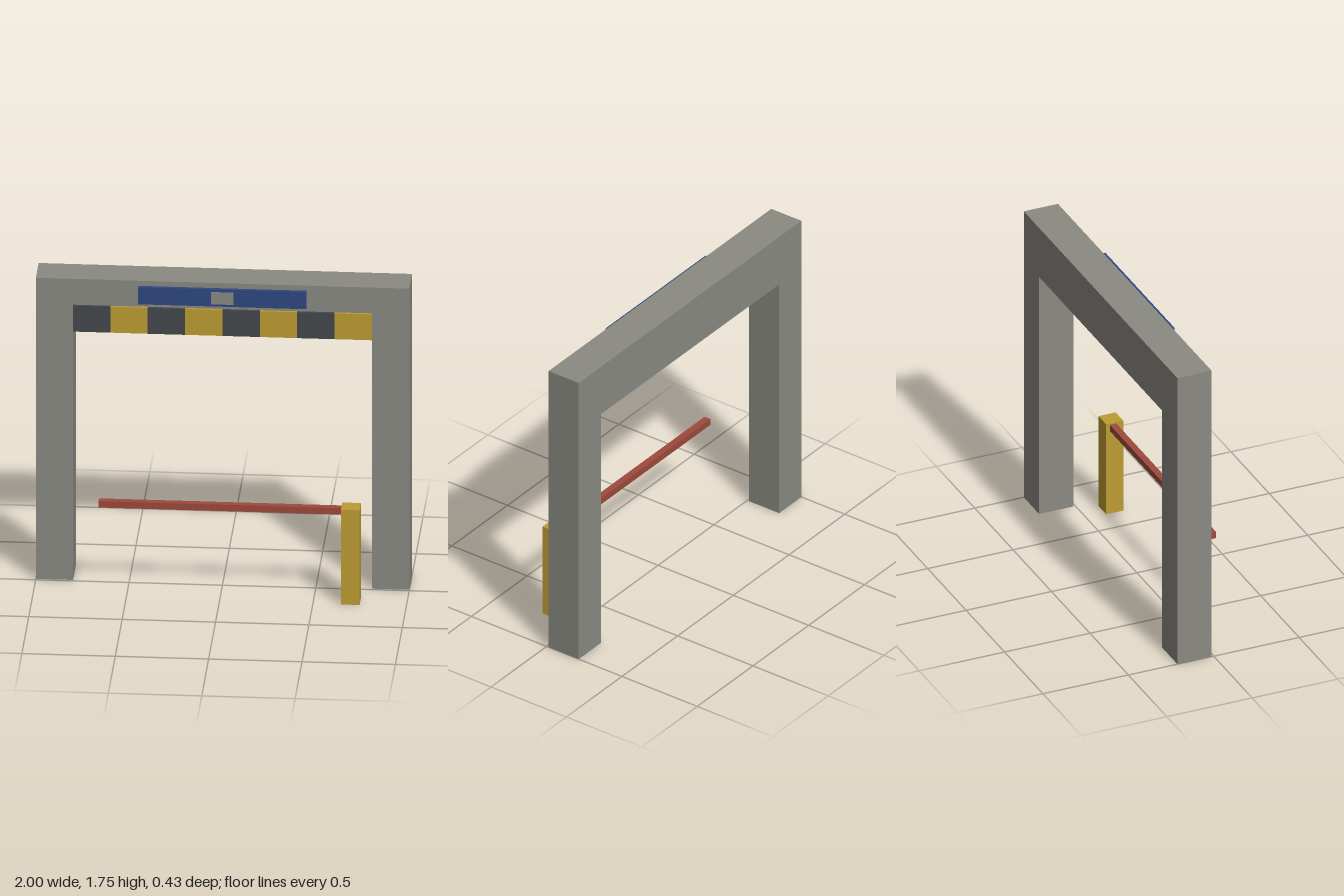
import * as THREE from 'three';

const paint = (name, color) => {
  const m = new THREE.MeshStandardMaterial({ color });
  m.name = name;
  return m;
};

export function createModel() {
  const concrete = paint('concrete grey', 0x8a8982);
  const yellow = paint('safety yellow', 0xbd9c33);
  const dark = paint('charcoal', 0x42484a);
  const blue = paint('sign blue', 0x2d4780);
  const red = paint('barrier red', 0x9d493b);

  const model = new THREE.Group();
  model.name = 'heightGate';

  // Box given by its lower and upper limits on each axis
  const box = (name, mat, [x0, x1], [y0, y1], [z0, z1]) => {
    const mesh = new THREE.Mesh(new THREE.BoxGeometry(x1 - x0, y1 - y0, z1 - z0), mat);
    mesh.position.set((x0 + x1) / 2, (y0 + y1) / 2, (z0 + z1) / 2);
    mesh.name = name;
    model.add(mesh);
  };

  // Portal frame: two pillars and a lintel in one outline
  const outline = new THREE.Shape();
  [[-1, 0], [-0.8, 0], [-0.8, 1.45], [0.8, 1.45], [0.8, 0], [1, 0], [1, 1.75], [-1, 1.75]]
    .forEach(([x, y], i) => (i ? outline.lineTo(x, y) : outline.moveTo(x, y)));
  const frame = new THREE.Mesh(
    new THREE.ExtrudeGeometry(outline, { depth: 0.2, bevelEnabled: false }), concrete);
  frame.position.z = -0.2125;
  frame.name = 'portalFrame';
  model.add(frame);

  // Hazard stripes across the lower half of the lintel
  for (let i = 0; i < 8; i++) {
    const x = -0.8 + i * 0.2;
    box('hazardStripe', i % 2 ? yellow : dark, [x, x + 0.2], [1.45, 1.6], [-0.0125, 0.0025]);
  }

  // Sign board with a small plate
  box('signBoard', blue, [-0.45, 0.45], [1.626, 1.725], [-0.002, 0.0175]);
  box('signPlate', concrete, [-0.06, 0.06], [1.64, 1.71], [0.0175, 0.0215]);

  // Barrier post and arm
  box('barrierPost', yellow, [0.65, 0.75], [0, 0.55], [0.1125, 0.2125]);
  box('barrierArm', red, [-0.65, 0.66], [0.505, 0.542], [0.134, 0.172]);

  return model;
}
